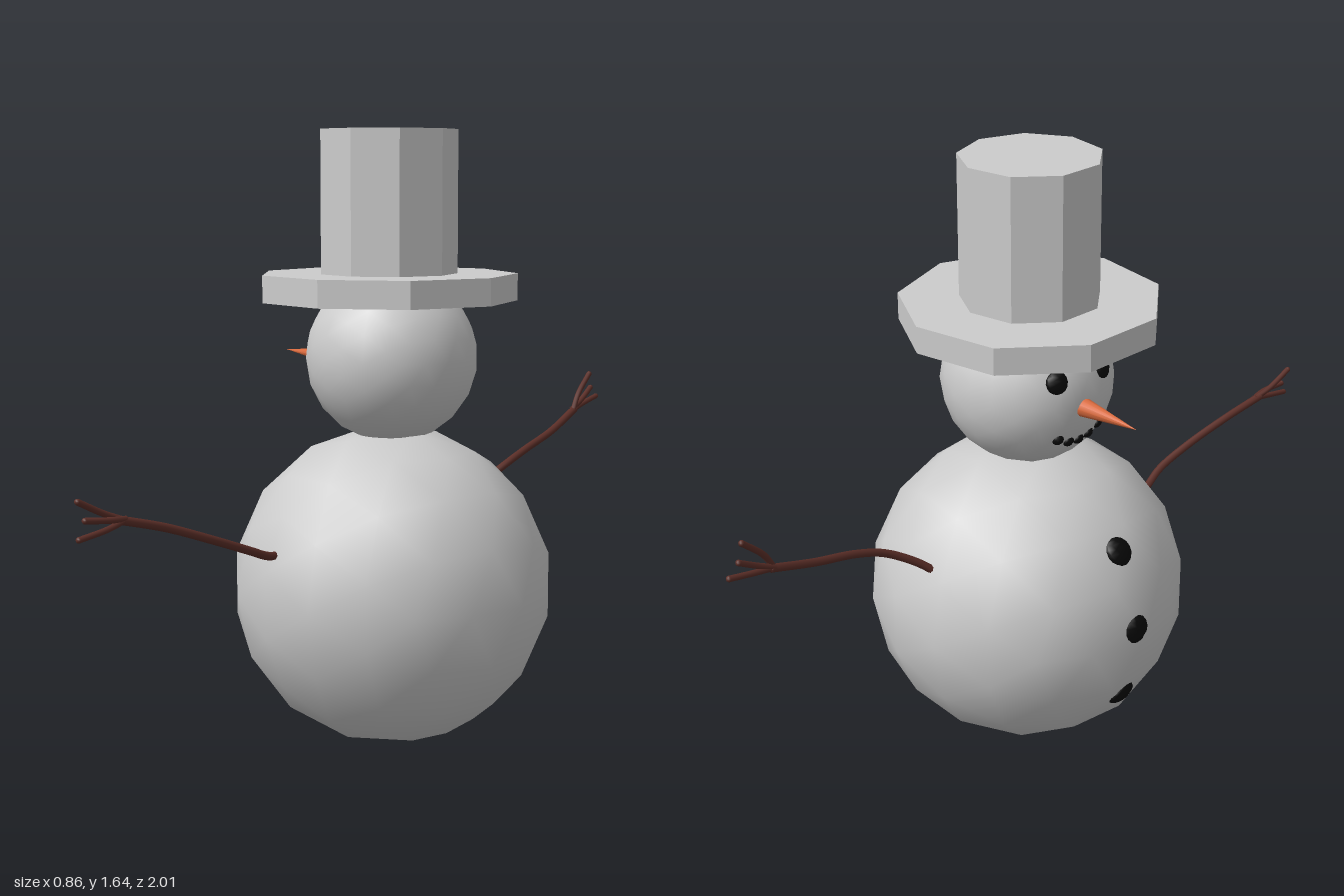
import * as THREE from 'three';

const material = (color, flatShading = false) => new THREE.MeshStandardMaterial({ color, flatShading });
const snow = material(0xcccccc);
const felt = material(0xcccccc, true);
const coal = material(0x080808);
const carrot = material(0xd8693c);
const bark = material(0x5c2f28);
const vec = (p) => new THREE.Vector3(...p);

function add(parent, name, geometry, mat, position = [0, 0, 0]) {
  const mesh = new THREE.Mesh(geometry, mat);
  mesh.name = name;
  mesh.position.set(...position);
  parent.add(mesh);
  return mesh;
}

// Flattened lump of coal lying on a ball, facing away from its centre
function addCoal(parent, name, centre, radius, position, size, flatness) {
  const out = vec(position).sub(vec(centre)).normalize();
  const at = out.clone().multiplyScalar(radius).add(vec(centre));
  const mesh = add(parent, name, new THREE.SphereGeometry(size, 10, 8), coal, at.toArray());
  mesh.scale.z = flatness;
  mesh.quaternion.setFromUnitVectors(new THREE.Vector3(0, 0, 1), out);
}

// Round twig along a smooth path, closed by a rounded end
function addTwig(parent, name, points, radius) {
  const curve = new THREE.CatmullRomCurve3(points.map(vec));
  add(parent, name, new THREE.TubeGeometry(curve, points.length * 5, radius, 8), bark);
  add(parent, name + 'End', new THREE.SphereGeometry(radius, 8, 6), bark, points[points.length - 1]);
}

function createArm(name, path, fingers) {
  const arm = new THREE.Group();
  arm.name = name;
  addTwig(arm, 'branch', path, 0.011);
  fingers.forEach((finger) => addTwig(arm, 'finger', finger, 0.008));
  return arm;
}

export function createModel() {
  const model = new THREE.Group();
  model.name = 'snowman';

  // Snowballs
  const bodyCentre = [0, 0.43, -0.022];
  const headCentre = [0, 1.05, -0.02];
  add(model, 'body', new THREE.IcosahedronGeometry(0.433, 2), snow, bodyCentre);
  add(model, 'head', new THREE.IcosahedronGeometry(0.23, 3), snow, headCentre);

  // Nine-sided top hat
  const hat = new THREE.Group();
  hat.name = 'hat';
  hat.position.set(-0.013, 0, -0.017);
  add(hat, 'brim', new THREE.CylinderGeometry(0.346, 0.346, 0.072, 9, 1, false, Math.PI), felt, [0, 1.236, 0]);
  add(hat, 'crown', new THREE.CylinderGeometry(0.186, 0.186, 0.38, 9, 1, false, Math.PI), felt, [0, 1.46, 0]);
  model.add(hat);

  // Carrot nose, pointing to -x
  const noseBase = vec([-0.2, 1.033, 0]);
  const noseTip = vec([-0.415, 1.04, 0.022]);
  const noseAxis = noseTip.clone().sub(noseBase);
  const nose = add(model, 'nose', new THREE.ConeGeometry(0.028, noseAxis.length(), 12), carrot,
    noseBase.clone().lerp(noseTip, 0.5).toArray());
  nose.quaternion.setFromUnitVectors(new THREE.Vector3(0, 1, 0), noseAxis.normalize());

  // Eyes and mouth
  for (const [x, z] of [[-0.19, 0.08], [-0.205, -0.073]]) {
    addCoal(model, 'eye', headCentre, 0.225, [x, 1.115, z], 0.03, 0.55);
  }
  for (let i = -2; i <= 2; i++) {
    const z = 0.01 + i * 0.036;
    addCoal(model, 'mouthCoal', headCentre, 0.225, [-0.2, 0.924 + i * i * 0.006, z], 0.016, 0.8);
  }

  // Buttons down the chest
  for (const [x, y, z] of [[-0.36, 0.67, 0.03], [-0.42, 0.455, 0.04], [-0.36, 0.235, 0.03]]) {
    addCoal(model, 'button', bodyCentre, 0.417, [x, y, z], 0.041, 0.5);
  }

  // Twig arms reaching along +z and -z
  model.add(createArm('frontArm',
    [[0.005, 0.56, 0.36], [0.025, 0.568, 0.41], [0.058, 0.598, 0.49], [0.067, 0.64, 0.6], [0.064, 0.69, 0.74], [0.065, 0.725, 0.87]],
    [
      [[0.065, 0.725, 0.86], [0.063, 0.745, 0.91], [0.07, 0.782, 0.983]],
      [[0.065, 0.725, 0.85], [0.08, 0.73, 0.9], [0.08, 0.737, 0.97]],
      [[0.065, 0.724, 0.85], [0.082, 0.71, 0.91], [0.094, 0.697, 0.995]],
    ]));
  model.add(createArm('rearArm',
    [[-0.095, 0.61, -0.37], [-0.08, 0.65, -0.42], [-0.068, 0.702, -0.51], [-0.08, 0.735, -0.6], [-0.112, 0.77, -0.73], [-0.155, 0.82, -0.87]],
    [
      [[-0.15, 0.815, -0.86], [-0.158, 0.865, -0.89], [-0.172, 0.922, -0.95]],
      [[-0.155, 0.82, -0.86], [-0.165, 0.845, -0.91], [-0.18, 0.878, -0.965]],
      [[-0.152, 0.818, -0.86], [-0.17, 0.832, -0.92], [-0.186, 0.848, -0.995]],
    ]));

  return model;
}
